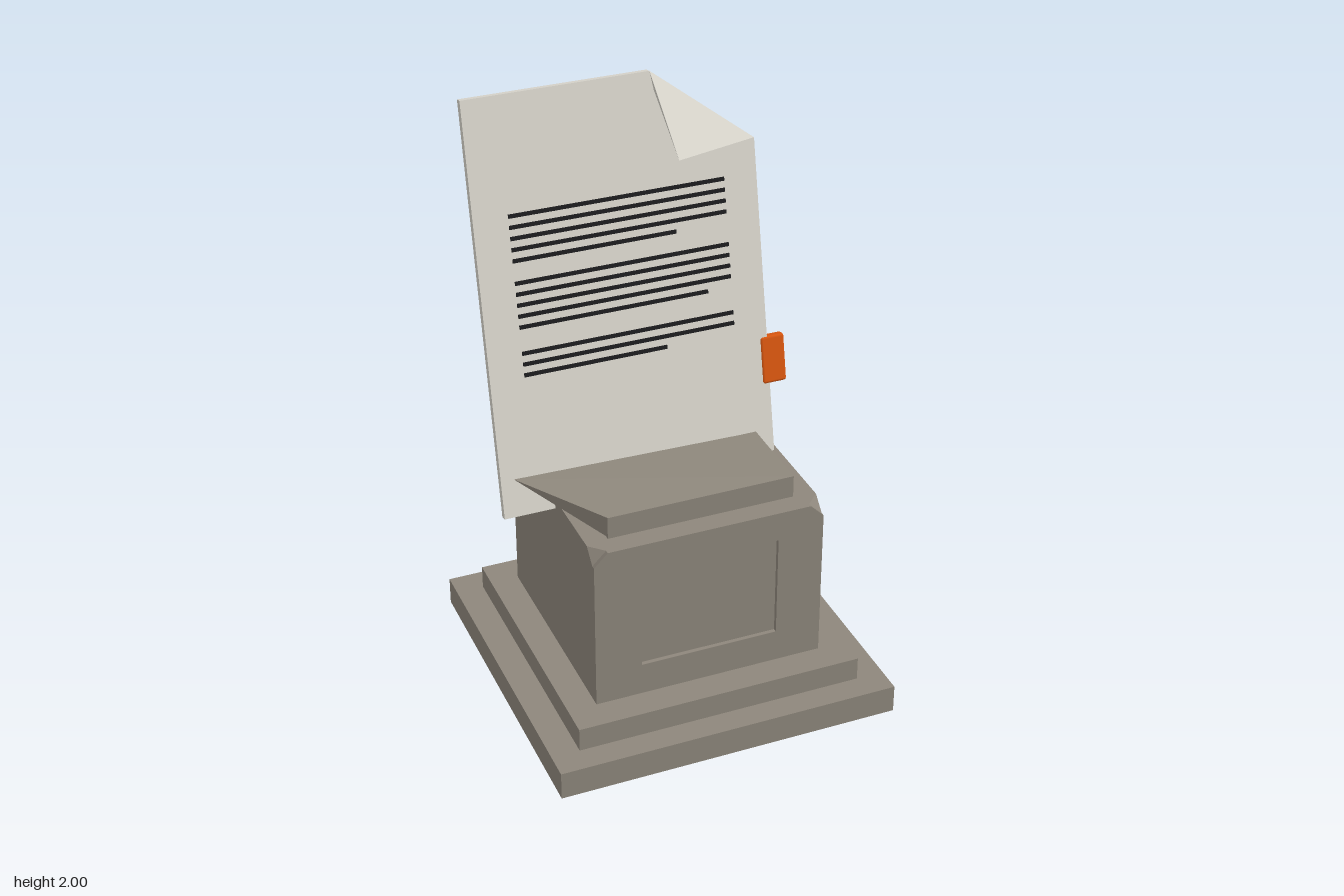
import * as THREE from 'three';
import { ConvexGeometry } from 'three/addons/geometries/ConvexGeometry.js';
import { RoundedBoxGeometry } from 'three/addons/geometries/RoundedBoxGeometry.js';

const mat = (name, color) => {
  const m = new THREE.MeshStandardMaterial({ color });
  m.name = name;
  return m;
};
const v = (x, y, z) => new THREE.Vector3(x, y, z);

export function createModel() {
  const stone = mat('stone', 0x8e877c);
  const paper = mat('paper', 0xdad7ce);
  const ink = mat('ink', 0x1c1c1e);
  const orange = mat('orange', 0xd9560f);

  const model = new THREE.Group();
  const add = (parent, name, geometry, material, x = 0, y = 0, z = 0) => {
    const mesh = new THREE.Mesh(geometry, material);
    mesh.name = name;
    mesh.position.set(x, y, z);
    parent.add(mesh);
    return mesh;
  };

  // Stepped pedestal
  const pedestal = new THREE.Group();
  pedestal.name = 'pedestal';
  model.add(pedestal);
  const slab = (name, w, y0, y1, d) =>
    add(pedestal, name, new THREE.BoxGeometry(w, y1 - y0, d), stone, 0, (y0 + y1) / 2, 0);
  slab('basePlinth', 1.14, 0.005, 0.1, 1.115);
  slab('upperStep', 0.955, 0.1, 0.18, 0.945);
  slab('cap', 0.62, 0.74, 0.815, 0.605);

  // Pedestal block with its top corners cut off
  const X = 0.383, Z = 0.36, Y0 = 0.18, Y1 = 0.74, cut = 0.045;
  const points = [];
  for (const sx of [-1, 1]) for (const sz of [-1, 1]) {
    points.push(
      v(sx * X, Y0, sz * Z), v(sx * X, Y1 - cut, sz * Z),
      v(sx * (X - cut), Y1, sz * Z), v(sx * X, Y1, sz * (Z - cut)));
  }
  add(pedestal, 'block', new ConvexGeometry(points), stone);

  // Raised frames that leave a sunk panel on the front and back
  const frame = new THREE.Shape([
    [-X, Y0], [X, Y0], [X, Y1 - cut], [X - cut, Y1], [cut - X, Y1], [-X, Y1 - cut],
  ].map(([x, y]) => new THREE.Vector2(x, y)));
  frame.holes.push(new THREE.Path([
    [-0.23, 0.29], [-0.23, 0.64], [0.23, 0.64], [0.23, 0.29],
  ].map(([x, y]) => new THREE.Vector2(x, y))));
  const frameGeometry = new THREE.ExtrudeGeometry(frame, { depth: 0.014, bevelEnabled: false });
  add(pedestal, 'frontPanelFrame', frameGeometry, stone, 0, 0, Z);
  add(pedestal, 'backPanelFrame', frameGeometry, stone, 0, 0, -Z).rotation.y = Math.PI;

  // Pointed ledge on the cap in front of the sheet
  add(pedestal, 'capLedge', new ConvexGeometry([
    v(-0.51, 0.835, 0.02), v(-0.309, 0.815, 0.302), v(-0.309, 0.745, 0.302),
    v(0.309, 0.817, 0.02), v(0.309, 0.815, 0.302), v(-0.309, 0.745, 0.02),
  ]), stone);

  // Leaning sheet; h() turns a height above ground into a distance up the sheet
  const lean = 0.202, foot = 0.705, T = 0.0125;
  const h = (y) => (y - foot) / Math.cos(lean);
  const sheet = new THREE.Group();
  sheet.name = 'document';
  sheet.position.set(0, foot, 0.025);
  sheet.rotation.x = -lean;
  model.add(sheet);

  const outline = new THREE.Shape([
    [-0.55, 0], [0.37, 0], [0.37, h(1.75)], [0.045, h(2)], [-0.55, h(2)],
  ].map(([x, y]) => new THREE.Vector2(x, y)));
  add(sheet, 'page', new THREE.ExtrudeGeometry(outline, { depth: 2 * T, bevelEnabled: false }),
    paper, 0, 0, -T);

  // Folded corner lifting off the page
  add(sheet, 'foldedCorner', new ConvexGeometry([
    v(0.045, h(2), -T), v(0.045, h(2), T), v(0.37, h(1.75), -T), v(0.37, h(1.75), T),
    v(0.085, 1.057, 0.099), v(0.09, 1.062, 0.085),
  ]), paper);

  // Written lines: each block has full lines and a short last one
  const line = (y, right, z) => add(sheet, 'writtenLine',
    new THREE.BoxGeometry(right + 0.44, 0.012, 0.006), ink, (right - 0.44) / 2, h(y), z);
  for (const [top, count, shortEnd] of [[1.64, 5, 0.09], [1.435, 5, 0.18], [1.217, 3, 0.03]]) {
    for (let i = 0; i < count; i++) {
      line(top - i * 0.034, i === count - 1 ? shortEnd : 0.26, T + 0.002);
    }
  }
  line(1.149, 0.03, -T - 0.001).name = 'backLine';

  // Page marker on the side edge
  add(sheet, 'marker', new RoundedBoxGeometry(0.085, 0.16, 0.032, 1, 0.01), orange,
    0.387, h(1.04), 0);

  return model;
}
